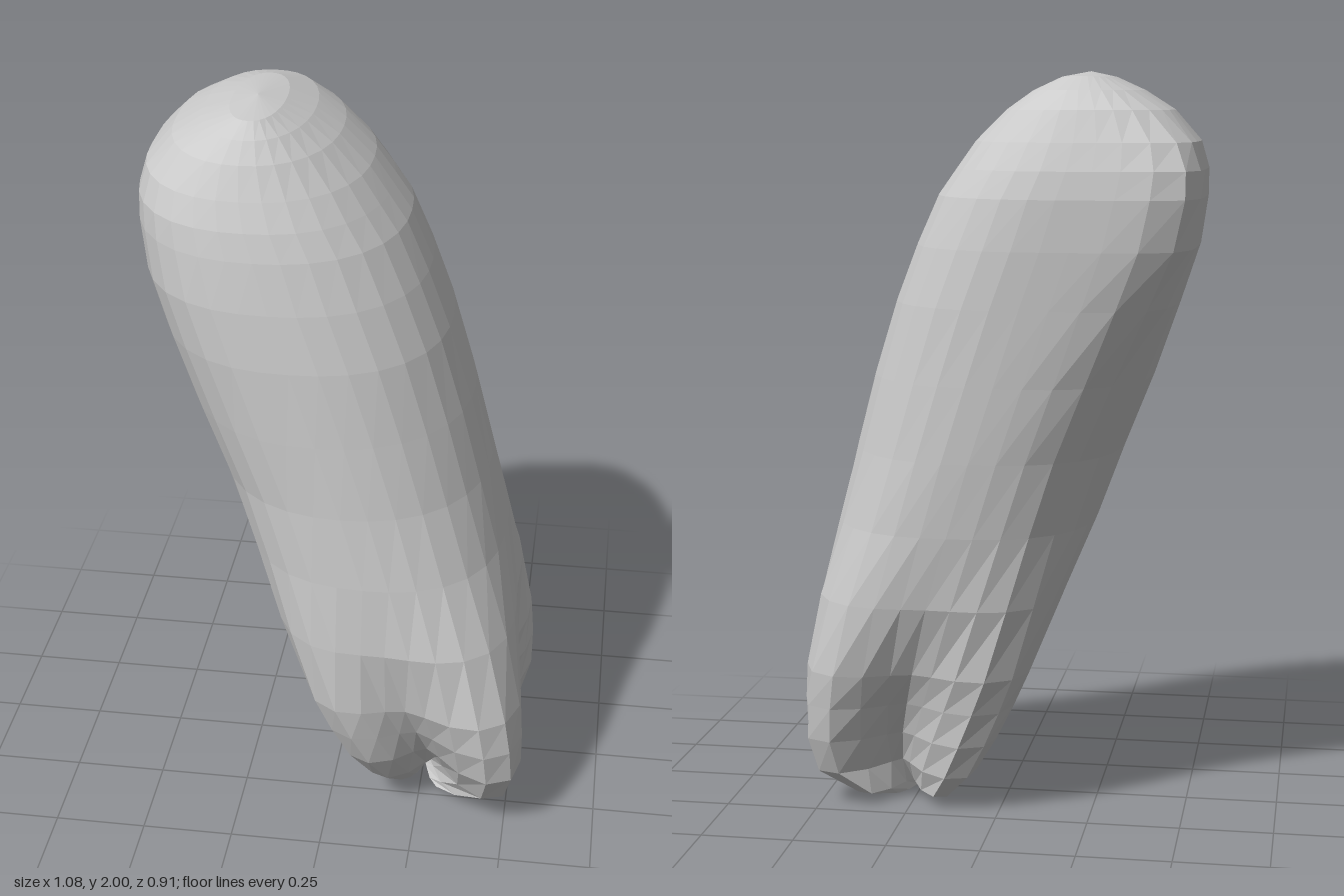
import * as THREE from 'three';

// Cross-sections from bottom to top: height, xMin, xMax, zMin, zMax,
// cleft depth, squareness of the corners, squareness of the back ridge
const SECTIONS = [
  [0.005, 0.19, 0.32, -0.10, 0.22, 0.75, 2.3, 2.3],
  [0.03, 0.14, 0.40, -0.19, 0.28, 0.72, 2.3, 2.3],
  [0.10, 0.07, 0.51, -0.24, 0.37, 0.62, 2.3, 2.3],
  [0.20, 0.01, 0.54, -0.28, 0.43, 0.48, 2.3, 2.3],
  [0.30, -0.04, 0.54, -0.305, 0.45, 0.38, 2.2, 2.2],
  [0.40, -0.085, 0.53, -0.33, 0.455, 0.29, 2.15, 2.15],
  [0.60, -0.165, 0.50, -0.365, 0.44, 0.15, 2.05, 2.1],
  [0.80, -0.245, 0.46, -0.39, 0.42, 0.06, 2.05, 2.15],
  [1.00, -0.32, 0.41, -0.41, 0.40, 0.02, 2.1, 2.3],
  [1.20, -0.40, 0.355, -0.425, 0.385, 0, 2.25, 2.8],
  [1.40, -0.47, 0.29, -0.44, 0.37, 0, 2.35, 4],
  [1.55, -0.52, 0.23, -0.452, 0.35, 0, 2.35, 5.5],
  [1.68, -0.54, 0.17, -0.455, 0.325, 0, 2.3, 6.5],
  [1.75, -0.54, 0.12, -0.445, 0.305, 0, 2.3, 6],
  [1.82, -0.52, 0.07, -0.42, 0.275, 0, 2.25, 4.5],
  [1.90, -0.45, -0.01, -0.38, 0.235, 0, 2.2, 3],
  [1.95, -0.37, -0.08, -0.32, 0.195, 0, 2.2, 2.4],
  [1.985, -0.29, -0.15, -0.20, 0.15, 0, 2.2, 2.2],
];
const SIDES = 32;

// One closed outline, scaled to fill its given bounds
function outline([y, x0, x1, z0, z1, cleft, corner, ridge]) {
  const pts = [];
  for (let j = 0; j < SIDES; j++) {
    const t = (j / SIDES) * Math.PI * 2;
    const c = Math.cos(t), s = Math.sin(t);
    const n = c < 0 && s < 0 ? ridge : corner;
    const round = Math.pow(Math.abs(c) ** n + Math.abs(s) ** n, -1 / n);
    const lobes = 1 - cleft * Math.cos(2 * t) ** 2;
    // the front left lobe is shorter than the others
    const short = 1 - 0.3 * cleft * Math.max(0, (s - c) * Math.SQRT1_2) ** 4;
    const r = round * lobes * short;
    pts.push(new THREE.Vector2(r * c, r * s));
  }
  const box = new THREE.Box2().setFromPoints(pts);
  const { mapLinear } = THREE.MathUtils;
  return pts.map((p) => [
    mapLinear(p.x, box.min.x, box.max.x, x0, x1), y,
    mapLinear(p.y, box.min.y, box.max.y, z0, z1),
  ]);
}

// Skin the outlines and close both ends
function loft(sections, bottom, top) {
  const position = sections.flatMap((s) => outline(s)).flat();
  const index = [];
  const last = (sections.length - 1) * SIDES;
  const low = sections.length * SIDES, high = low + 1;
  position.push(...bottom, ...top);
  for (let j = 0; j < SIDES; j++) {
    const k = (j + 1) % SIDES;
    for (let i = 0; i < last; i += SIDES) {
      index.push(i + j, i + SIDES + j, i + k);
      index.push(i + k, i + SIDES + j, i + SIDES + k);
    }
    index.push(low, j, k, high, last + k, last + j);
  }
  const geometry = new THREE.BufferGeometry();
  geometry.setAttribute('position', new THREE.Float32BufferAttribute(position, 3));
  geometry.setIndex(index);
  geometry.computeVertexNormals();
  return geometry;
}

export function createModel() {
  const group = new THREE.Group();
  group.name = 'leaningLobedForm';
  // Leaning body: rounded top with a back ridge, four lobes with clefts at the base
  const material = new THREE.MeshStandardMaterial({ color: 0xcccccc, flatShading: true });
  const body = new THREE.Mesh(loft(SECTIONS, [0.25, 0, 0.06], [-0.22, 2, 0]), material);
  body.name = 'body';
  group.add(body);
  return group;
}
